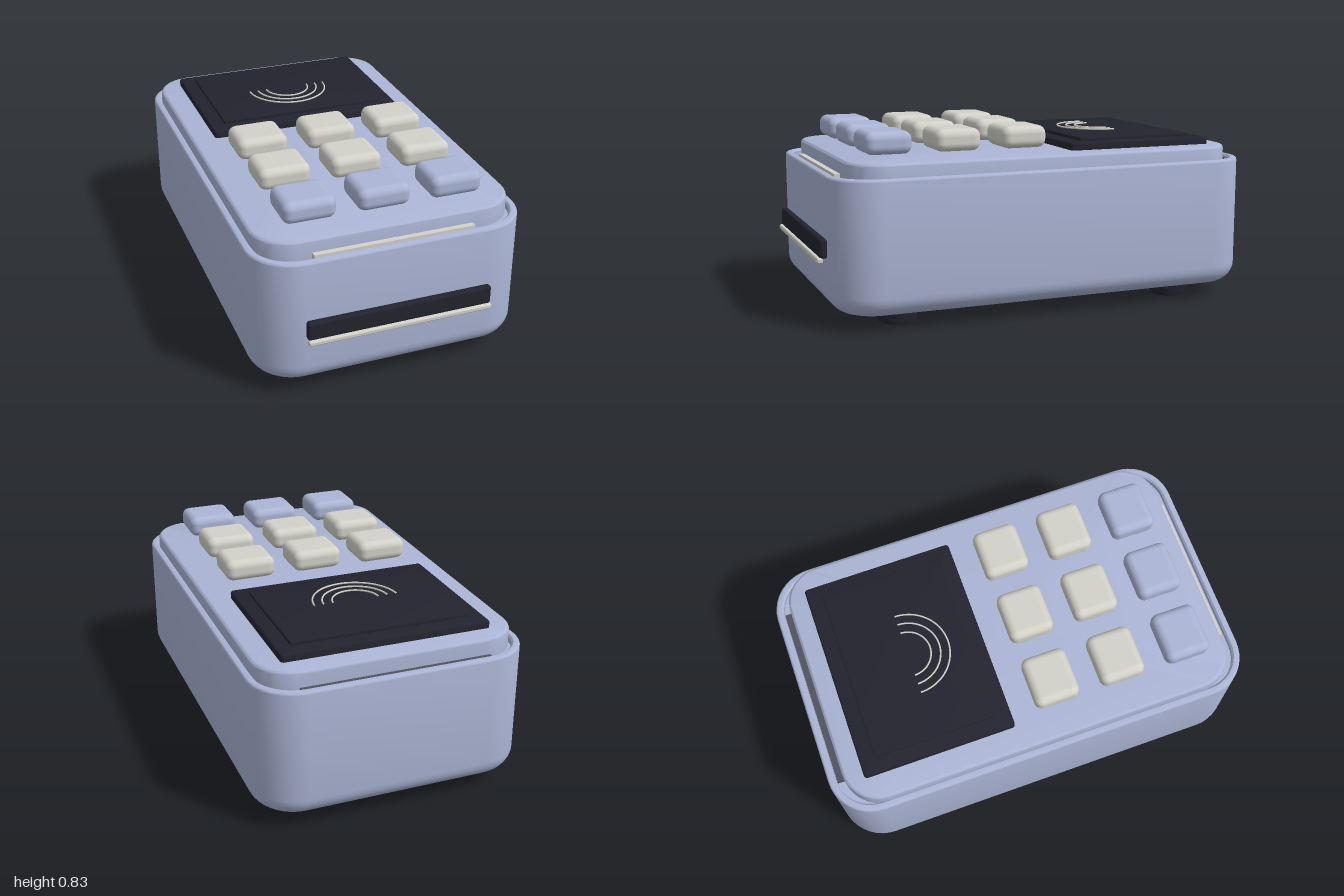
import * as THREE from 'three';
import { toCreasedNormals } from 'three/addons/utils/BufferGeometryUtils.js';
import { RoundedBoxGeometry } from 'three/addons/geometries/RoundedBoxGeometry.js';

const mat = (name, color) => {
  const m = new THREE.MeshStandardMaterial({ color });
  m.name = name;
  return m;
};

// Rounded-rectangle loft: rings are [inset, y] from the bottom up, capped at both ends.
function loft(halfWidth, z0, z1, radius, rings) {
  const steps = 10, n = 4 * (steps + 1);
  const pos = [], idx = [];
  const cz = (z0 + z1) / 2, halfDepth = (z1 - z0) / 2;
  for (const [inset, y] of rings) {
    const r = Math.max(radius - inset, 0.003);
    const w = halfWidth - inset - r, d = halfDepth - inset - r;
    [[1, 1], [-1, 1], [-1, -1], [1, -1]].forEach(([sx, sz], q) => {
      for (let k = 0; k <= steps; k++) {
        const a = (q + k / steps) * Math.PI / 2;
        pos.push(sx * w + r * Math.cos(a), y, cz + sz * d + r * Math.sin(a));
      }
    });
  }
  const last = rings.length - 1;
  const bottom = pos.length / 3, top = bottom + 1;
  pos.push(0, rings[0][1], cz, 0, rings[last][1], cz);
  for (let j = 0; j < n; j++) {
    const k = (j + 1) % n;
    for (let i = 0; i < last; i++) {
      const a = i * n, b = a + n;
      idx.push(a + j, b + j, a + k, a + k, b + j, b + k);
    }
    idx.push(bottom, j, k, top, last * n + k, last * n + j);
  }
  const g = new THREE.BufferGeometry();
  g.setAttribute('position', new THREE.Float32BufferAttribute(pos, 3));
  g.setIndex(idx);
  return toCreasedNormals(g, 0.6);
}

// Quarter-round edge rings; top edges end inset, bottom edges start inset.
function fillet(r, y, isTop, steps = 6) {
  const out = [];
  for (let i = 0; i <= steps; i++) {
    const a = (i / steps) * Math.PI / 2;
    out.push(isTop
      ? [r * (1 - Math.cos(a)), y - r + r * Math.sin(a)]
      : [r * (1 - Math.sin(a)), y + r - r * Math.cos(a)]);
  }
  return out;
}

export function createModel() {
  const root = new THREE.Group();
  root.name = 'cardTerminal';
  const blue = mat('bodyBlue', 0xabb5d5);
  const cream = mat('keyCream', 0xd2d2c9);
  const dark = mat('darkPlastic', 0x23232f);
  const grey = mat('gapGrey', 0x50535f);

  const add = (name, geometry, material, x = 0, y = 0, z = 0) => {
    const m = new THREE.Mesh(geometry, material);
    m.name = name;
    m.position.set(x, y, z);
    root.add(m);
    return m;
  };
  const box = (name, material, w, h, d, r, x, y, z) =>
    add(name, new RoundedBoxGeometry(w, h, d, 4, r), material, x, y, z);

  // Casing with rounded bottom, raised rim and shallow recess
  add('casing', loft(0.605, -1, 0.955, 0.2, [
    ...fillet(0.09, 0.065, false, 8),
    ...fillet(0.012, 0.652, true, 4),
    [0.028, 0.652], [0.036, 0.644], [0.036, 0.62],
  ]), blue);

  // Raised top plate
  add('topPlate', loft(0.575, -0.93, 0.88, 0.17, [
    [0, 0.61], ...fillet(0.018, 0.712, true),
  ]), blue);

  // Shadow gap at the back and paper strip at the front
  add('backGap', new THREE.BoxGeometry(0.84, 0.02, 0.06), grey, 0, 0.628, -0.932);
  add('paperStrip', new THREE.BoxGeometry(0.71, 0.04, 0.05), cream, 0, 0.63, 0.88);

  // Screen frame and raised glass
  add('screenFrame', loft(0.465, -0.84, -0.145, 0.015, [
    [0, 0.7], ...fillet(0.012, 0.745, true, 4),
  ]), dark);
  add('screenGlass', loft(0.4, -0.77, -0.215, 0.006, [
    [0, 0.735], ...fillet(0.005, 0.76, true, 3),
  ]), dark);

  // Contactless arcs
  for (const r of [0.105, 0.148, 0.19]) {
    const arc = add('contactlessArc', new THREE.TorusGeometry(r, 0.004, 6, 40, Math.PI),
      cream, 0, 0.768, -0.49);
    arc.rotation.x = Math.PI / 2;
  }

  // Keypad: two cream rows and a blue front row
  [0.067, 0.375, 0.685].forEach((z, row) => {
    for (const x of [-0.325, 0, 0.325]) {
      box(row === 2 ? 'functionKey' : 'numberKey', row === 2 ? blue : cream,
        0.232, 0.098, 0.207, 0.036, x, 0.778, z);
    }
  });

  // Card slot and its lip on the front
  box('cardSlot', dark, 0.82, 0.085, 0.034, 0.012, 0, 0.344, 0.971);
  box('slotLip', cream, 0.82, 0.024, 0.026, 0.008, 0, 0.294, 0.987);
  add('slotMount', new THREE.BoxGeometry(0.66, 0.05, 0.03), dark, 0, 0.344, 0.952);

  // Four round feet
  const footProfile = [[0, 0], [0.077, 0], [0.083, 0.003], [0.085, 0.009], [0.085, 0.08], [0, 0.08]]
    .map(([x, y]) => new THREE.Vector2(x, y));
  const foot = toCreasedNormals(new THREE.LatheGeometry(footProfile, 32), 0.6);
  for (const x of [-0.387, 0.387]) {
    for (const z of [0.65, -0.687]) add('foot', foot, dark, x, 0, z);
  }
  return root;
}
